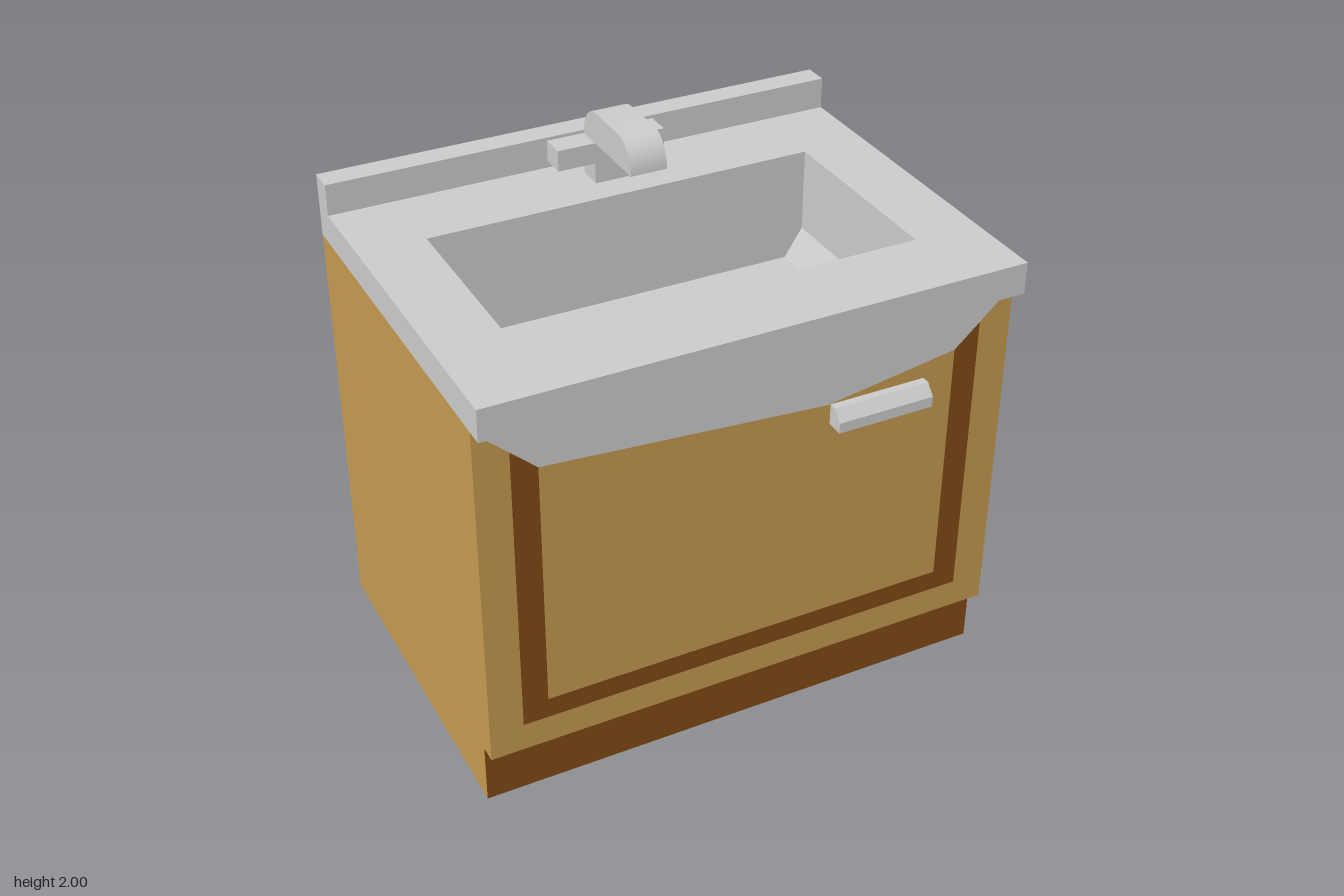
import * as THREE from 'three';
import { mergeVertices, toCreasedNormals } from 'three/addons/utils/BufferGeometryUtils.js';

const GREY = new THREE.MeshStandardMaterial({ color: 0xcccccc });
const GREY_THIN = new THREE.MeshStandardMaterial({ color: 0xcccccc, side: THREE.DoubleSide });
const WOOD = new THREE.MeshStandardMaterial({ color: 0xc59a50, side: THREE.DoubleSide });
const DARK = new THREE.MeshStandardMaterial({ color: 0x814a15, side: THREE.DoubleSide });

const FRONT = 0.67, BACK = -0.735, KICK = 0.605, TOP = 1.6;

const shapeOf = pts => new THREE.Shape(pts.map(p => new THREE.Vector2(...p)));
const rect = (x0, x1, y0, y1) => [[x0, y0], [x1, y0], [x1, y1], [x0, y1]];

export function createModel() {
  const model = new THREE.Group();

  function add(parent, name, geometry, material) {
    const mesh = new THREE.Mesh(geometry, material);
    mesh.name = name;
    parent.add(mesh);
    return mesh;
  }
  function group(name) {
    const g = new THREE.Group();
    g.name = name;
    model.add(g);
    return g;
  }
  function box(parent, name, x0, x1, y0, y1, z0, z1) {
    const g = new THREE.BoxGeometry(x1 - x0, y1 - y0, z1 - z0);
    g.translate((x0 + x1) / 2, (y0 + y1) / 2, (z0 + z1) / 2);
    return add(parent, name, g, GREY);
  }
  // Flat panel facing +z, drawn in x and y
  const frontPanel = (parent, name, pts, z, material) =>
    add(parent, name, new THREE.ShapeGeometry(shapeOf(pts)).translate(0, 0, z), material);
  // Flat panel facing +x or -x, drawn in z and y
  const sidePanel = (parent, name, pts, side, material) =>
    add(parent, name, new THREE.ShapeGeometry(shapeOf(pts.map(([z, y]) => [-side * z, y])))
      .rotateY(side * Math.PI / 2).translate(side, 0, 0), material);
  // Flat panel facing down, drawn in x and z
  const underPanel = (parent, name, pts, y, material) =>
    add(parent, name, new THREE.ShapeGeometry(shapeOf(pts)).rotateX(Math.PI / 2).translate(0, y, 0), material);
  // Solid drawn in z and y, running along x
  function profileSolid(pts, x0, x1) {
    const g = new THREE.ExtrudeGeometry(shapeOf(pts.map(([z, y]) => [-z, y])), { depth: x1 - x0, bevelEnabled: false });
    return g.rotateY(Math.PI / 2).translate(x0, 0, 0);
  }

  // Cabinet shell
  const cabinet = group('cabinet');
  const step = [[FRONT, TOP], [FRONT, 0.24], [KICK, 0.24]];
  sidePanel(cabinet, 'leftSide', [...step, [BACK, 0], [BACK, TOP]], 1, WOOD);
  sidePanel(cabinet, 'leftKickSide', [[KICK, 0.24], [KICK, 0], [BACK, 0]], 1, DARK);
  sidePanel(cabinet, 'rightSide', [...step, [KICK, 0], [BACK, 0], [BACK, TOP]], -1, WOOD);
  add(cabinet, 'backPanel', new THREE.PlaneGeometry(2, TOP).rotateY(Math.PI).translate(0, TOP / 2, BACK), WOOD);
  underPanel(cabinet, 'bottom', rect(-1, 1, BACK, KICK), 0, DARK);
  underPanel(cabinet, 'kickLip', rect(-1, 1, KICK, FRONT), 0.24, WOOD);
  frontPanel(cabinet, 'toeKick', rect(-1, 1, 0, 0.24), KICK, DARK);

  // Front: outer border, dark groove, door and apron meet in one plane
  const front = group('cabinetFront');
  const cut = 1.486;
  for (const s of [-1, 1]) {
    frontPanel(front, 'frontBorder', [[s, 0.24], [s, TOP], [s * 0.875, cut], [s * 0.875, 0.24]], FRONT, WOOD);
    frontPanel(front, 'doorGroove', [[s * 0.875, 0.35], [s * 0.875, cut], [s * 0.78, 1.4], [s * 0.78, 0.35]], FRONT, DARK);
  }
  frontPanel(front, 'frontLowerBorder', rect(-0.875, 0.875, 0.24, 0.35), FRONT, WOOD);
  frontPanel(front, 'doorLowerGroove', rect(-0.78, 0.78, 0.35, 0.43), FRONT, DARK);
  frontPanel(front, 'door', [[-0.78, 0.43], [0.78, 0.43], [0.78, 1.4], [0.28, 1.32], [-0.78, 1.4]], FRONT, WOOD);
  frontPanel(front, 'apron', [[-1, TOP], [-0.78, 1.4], [0.28, 1.32], [0.78, 1.4], [1, TOP]], FRONT, GREY_THIN);

  // Door handle with a chamfered top edge
  add(model, 'doorHandle', profileSolid(
    [[FRONT, 1.24], [0.735, 1.24], [0.735, 1.28], [0.7, 1.32], [FRONT, 1.32]], 0.29, 0.66), GREY);

  // Countertop with the basin opening
  const counter = group('counter');
  const slab = shapeOf(rect(-1, 1, -0.735, 0.735));
  slab.holes.push(new THREE.Path(rect(-0.75, 0.75, -0.43, 0.33).map(p => new THREE.Vector2(...p))));
  add(counter, 'countertop', new THREE.ExtrudeGeometry(slab, { depth: 0.12, bevelEnabled: false })
    .rotateX(-Math.PI / 2).translate(0, TOP, 0), GREY);
  box(counter, 'backsplash', -1, 1, 1.72, 1.84, BACK, -0.64);

  // Basin: straight walls, sloped at the foot of both ends
  const basin = group('basin');
  const section = [[-0.75, TOP], [-0.75, 1.4], [-0.68, 1.29], [0.68, 1.29], [0.75, 1.4], [0.75, TOP]];
  const verts = [];
  for (let i = 0; i < section.length - 1; i++) {
    const [a, b] = [section[i], section[i + 1]];
    const [p, q, r, t] = [[...a, -0.33], [...a, 0.43], [...b, 0.43], [...b, -0.33]];
    verts.push(...p, ...q, ...r, ...p, ...r, ...t);
  }
  const trough = new THREE.BufferGeometry();
  trough.setAttribute('position', new THREE.Float32BufferAttribute(verts, 3));
  trough.computeVertexNormals();
  add(basin, 'basinFloorAndEnds', trough, GREY_THIN);
  frontPanel(basin, 'basinBackWall', section, -0.33, GREY_THIN);
  add(basin, 'basinFrontWall', new THREE.ShapeGeometry(shapeOf(section)).rotateY(Math.PI).translate(0, 0, 0.43), GREY_THIN);

  // Faucet
  const faucet = group('faucet');
  box(faucet, 'faucetStem', -0.055, 0.085, 1.72, 1.88, -0.54, -0.445);
  box(faucet, 'faucetLeftLever', 0.085, 0.22, 1.8, 1.88, -0.54, -0.445);
  box(faucet, 'faucetRightLever', -0.2, -0.055, 1.8, 1.88, -0.54, -0.445);
  const arch = [];
  for (const [centre, start] of [[-0.25, 0], [-0.44, Math.PI / 2]]) {
    for (let i = 0; i <= 8; i++) {
      const a = start + i / 8 * Math.PI / 2;
      arch.push([centre + 0.1 * Math.cos(a), 1.88 + 0.12 * Math.sin(a)]);
    }
  }
  const spout = profileSolid(arch, -0.055, 0.085);
  spout.deleteAttribute('uv');
  spout.deleteAttribute('normal');
  add(faucet, 'faucetSpout', toCreasedNormals(mergeVertices(spout), 0.6), GREY);

  return model;
}
